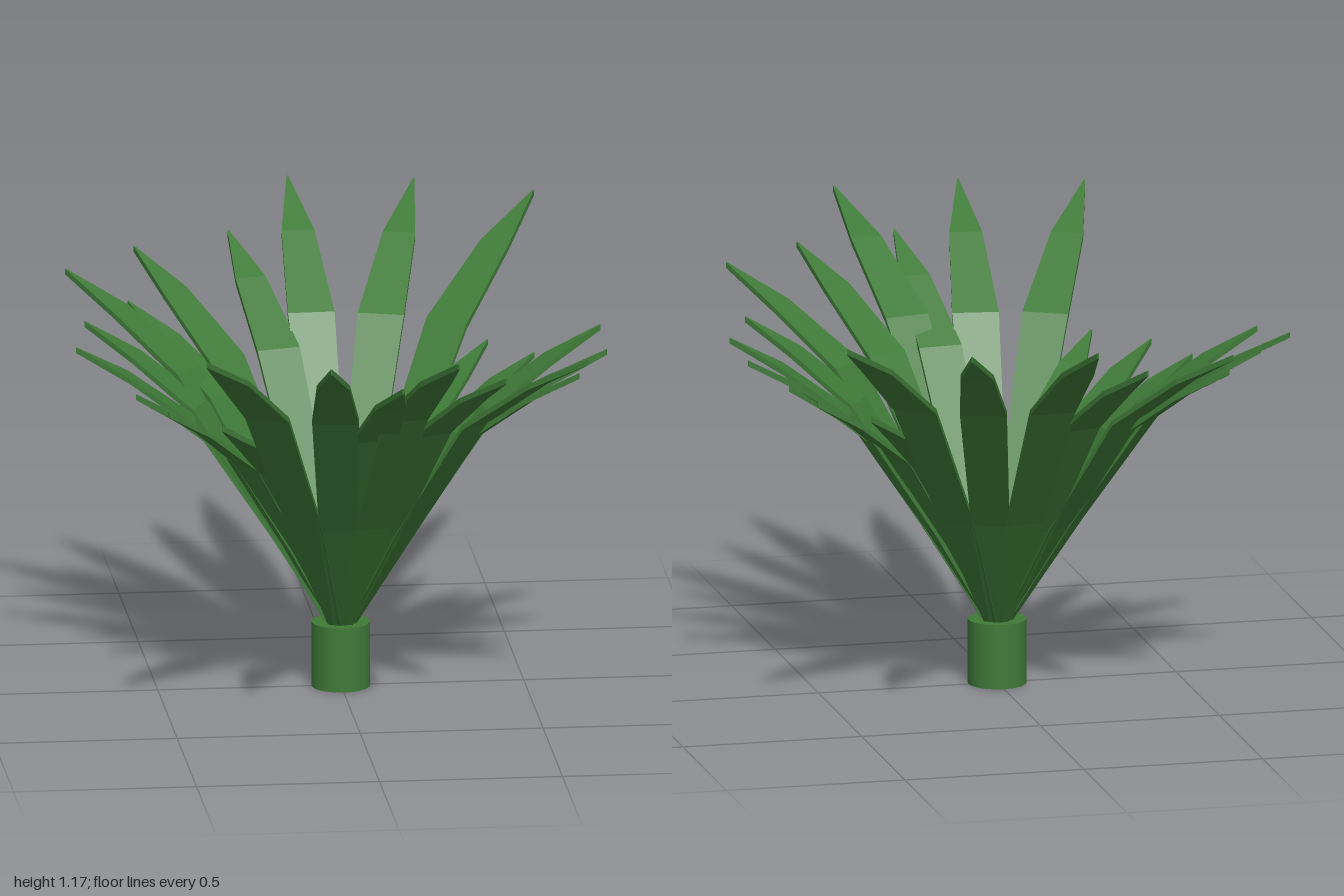
import * as THREE from 'three';

// One arching blade: rows of four corners (thin box section) swept outwards along +x
function bladeGeometry(reach, rise) {
  const base = 0.17, thick = 0.016;
  // [share of reach, share of rise, half width]
  const rows = [[0.03, 0, 0.016], [0.27, 0.355, 0.052], [0.55, 0.735, 0.064], [0.8, 0.9, 0.045], [1, 1, 0.002]];
  const pos = [], index = [];
  for (const [u, v, w] of rows) {
    const x = u * reach, y = base + v * (rise - base);
    const half = w * (0.72 + 0.28 * reach);
    pos.push(x, y, -half, x, y, half, x, y - thick, half, x, y - thick, -half);
  }
  for (let i = 0; i < rows.length - 1; i++) {
    for (let k = 0; k < 4; k++) {
      const a = i * 4 + k, b = i * 4 + (k + 1) % 4;
      index.push(a, b, a + 4, b, b + 4, a + 4);
    }
  }
  const e = (rows.length - 1) * 4;
  index.push(0, 2, 1, 0, 3, 2, e, e + 1, e + 2, e, e + 2, e + 3);
  const indexed = new THREE.BufferGeometry();
  indexed.setAttribute('position', new THREE.Float32BufferAttribute(pos, 3));
  indexed.setIndex(index);
  const geometry = indexed.toNonIndexed(); // separate faces give crisp facets
  geometry.computeVertexNormals();
  return geometry;
}

export function createModel() {
  const model = new THREE.Group();
  const green = new THREE.MeshStandardMaterial({ color: 0x3f7a38 });
  green.name = 'leafGreen';

  // Short stem
  const stem = new THREE.Mesh(new THREE.CylinderGeometry(0.08, 0.08, 0.18, 24), green);
  stem.name = 'stem';
  stem.position.y = 0.09;
  model.add(stem);

  // Blade tips as [x, z], going round the crown
  const tips = [
    [-0.04, -1.0], [0.3, -0.95], [0.61, -0.79], [0.44, -0.37], [0.55, -0.2], [0.72, -0.1],
    [0.58, 0], [0.71, 0.16], [0.61, 0.39], [0.61, 0.61], [0.37, 0.78], [0.22, 0.98],
    [0.08, 0.86], [-0.13, 0.99], [-0.46, 0.89], [-0.37, 0.44], [-0.5, 0.29], [-0.57, 0.1],
    [-0.72, -0.03], [-0.67, -0.28], [-0.7, -0.49], [-0.53, -0.49], [-0.49, -0.7], [-0.22, -0.83],
  ];
  const crown = new THREE.Group();
  crown.name = 'crown';
  tips.forEach(([x, z], i) => {
    const reach = Math.hypot(x, z);
    // Longer blades also stand taller
    const leaf = new THREE.Mesh(bladeGeometry(reach, 0.45 + 0.713 * reach), green);
    leaf.name = `leaf${i + 1}`;
    leaf.rotation.y = Math.atan2(-z, x);
    crown.add(leaf);
  });
  model.add(crown);
  return model;
}
